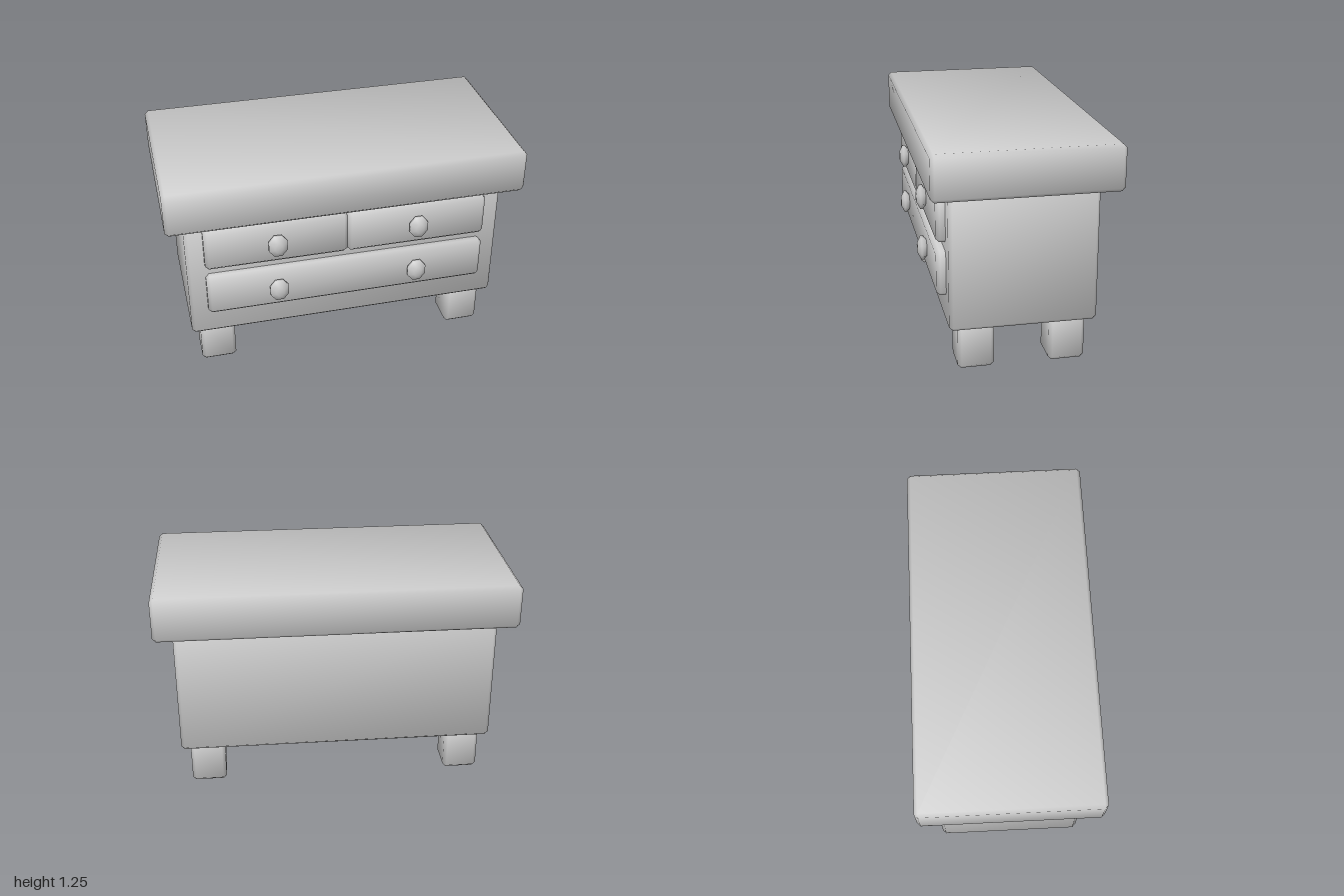
import * as THREE from 'three';
import { ConvexGeometry } from 'three/addons/geometries/ConvexGeometry.js';

const BEVEL = 0.02;

// Box with chamfered edges, softly shaded, given by its min and max corners
function chamferBox(min, max) {
  const half = min.map((v, i) => (max[i] - v) / 2);
  const points = [];
  for (let axis = 0; axis < 3; axis++)
    for (const sx of [-1, 1]) for (const sy of [-1, 1]) for (const sz of [-1, 1]) {
      const p = [sx, sy, sz].map((s, i) => s * (half[i] - (i === axis ? 0 : BEVEL)));
      points.push(new THREE.Vector3(...p));
    }
  const geometry = new ConvexGeometry(points);
  // Each corner normal leans outward from the main face it lies on
  const pos = geometry.attributes.position;
  const normal = geometry.attributes.normal;
  for (let i = 0; i < pos.count; i++) {
    const n = [pos.getX(i), pos.getY(i), pos.getZ(i)].map((v, a) =>
      Math.sign(v) * (Math.abs(v) > half[a] - BEVEL / 2 ? 0.87 : 0.34));
    normal.setXYZ(i, ...new THREE.Vector3(...n).normalize().toArray());
  }
  geometry.translate(...min.map((v, i) => (v + max[i]) / 2));
  return geometry;
}

// Eight-sided knob pointing to +z, slightly taller than wide
function knobGeometry() {
  const profile = [[0.045, -0.01], [0.052, 0.003], [0.07, 0.014], [0.07, 0.03], [0.03, 0.05], [0, 0.05]]
    .map(([r, y]) => new THREE.Vector2(r, y));
  const geometry = new THREE.LatheGeometry(profile, 8, Math.PI / 8);
  geometry.rotateX(Math.PI / 2);
  geometry.scale(0.8, 1, 1);
  return geometry;
}

export function createModel() {
  const group = new THREE.Group();
  group.name = 'dresser';
  const grey = new THREE.MeshStandardMaterial({ color: 0xcccccc });
  grey.name = 'plain grey';

  const add = (name, geometry) => {
    const mesh = new THREE.Mesh(geometry, grey);
    mesh.name = name;
    group.add(mesh);
    return mesh;
  };

  // Top slab and cabinet
  add('tabletop', chamferBox([-1, 1, -0.5], [1, 1.25, 0.5]));
  add('cabinet', chamferBox([-0.9, 0.25, -0.4], [0.9, 1.03, 0.4]));

  // Legs
  for (const [side, x] of [['left', 0.75], ['right', -0.75]])
    for (const [end, z] of [['front', 0.25], ['back', -0.25]])
      add(`${end} ${side} leg`, chamferBox([x - 0.1, 0, z - 0.1], [x + 0.1, 0.28, z + 0.1]));

  // Two small drawers above one wide drawer
  add('upper right drawer', chamferBox([-0.8, 0.715, 0.35], [0, 0.965, 0.45]));
  add('upper left drawer', chamferBox([0, 0.715, 0.35], [0.8, 0.965, 0.45]));
  add('lower drawer', chamferBox([-0.8, 0.415, 0.35], [0.8, 0.665, 0.45]));

  // Knobs
  const knob = knobGeometry();
  for (const [row, y] of [['upper', 0.84], ['lower', 0.54]])
    for (const [side, x] of [['left', 0.4], ['right', -0.4]])
      add(`${row} ${side} knob`, knob).position.set(x, y, 0.45);

  return group;
}
